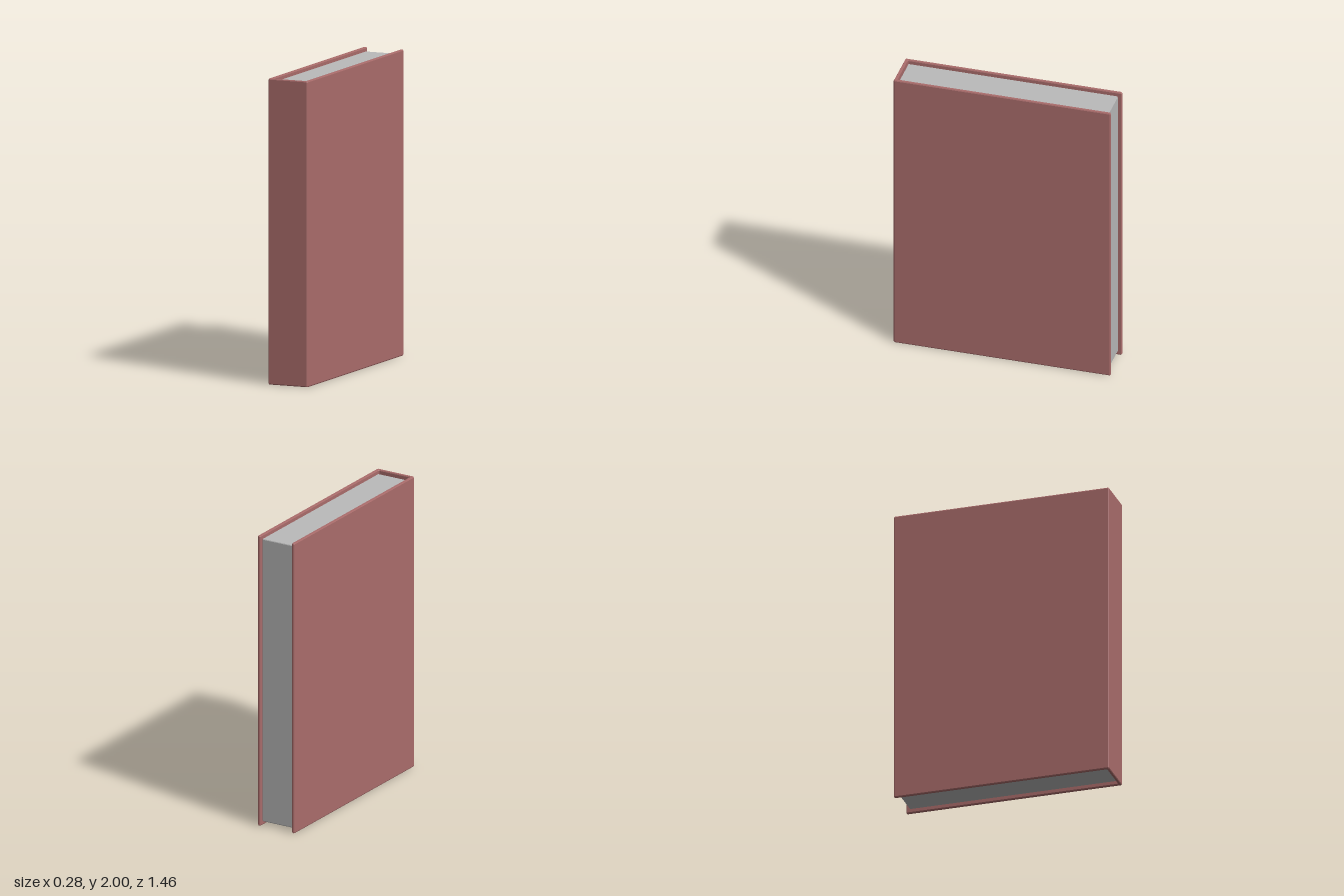
import * as THREE from 'three';

const BEVEL = 0.006;

// Upright prism from a floor outline [x, z], with corners and rims chamfered.
function chamferedPrism(outline, y0, y1, b) {
  const pts = [];
  const n = outline.length;
  outline.forEach(([x, z], i) => {
    const p = new THREE.Vector2(x, -z);
    for (const j of [(i + n - 1) % n, (i + 1) % n]) {
      const q = new THREE.Vector2(outline[j][0], -outline[j][1]);
      pts.push(p.clone().add(q.sub(p).setLength(b)));
    }
  });
  const geo = new THREE.ExtrudeGeometry(new THREE.Shape(pts), {
    depth: y1 - y0 - 2 * b, bevelEnabled: true, bevelSegments: 1,
    bevelThickness: b, bevelSize: b / 2, bevelOffset: -b / 2,
  });
  return geo.rotateX(-Math.PI / 2).translate(0, y0 + b, 0);
}

export function createModel() {
  const coverRed = new THREE.MeshStandardMaterial({ color: 0xab6d6c });
  coverRed.name = 'coverRed';
  const paperGrey = new THREE.MeshStandardMaterial({ color: 0xbababa });
  paperGrey.name = 'paperGrey';

  const book = new THREE.Group();
  book.name = 'book';

  // Two boards joined by the spine at the front, open at the back
  const w = 0.14, d = 0.73, t = 0.02;
  const cover = new THREE.Mesh(chamferedPrism([
    [-w, d], [w, d], [w, -d], [w - t, -d],
    [w - t, d - t], [-w + t, d - t], [-w + t, -d], [-w, -d],
  ], 0, 2, BEVEL), coverRed);
  cover.name = 'cover';

  // Page block, set back from the cover edges
  const pw = w - t, pd = 0.705;
  const pages = new THREE.Mesh(chamferedPrism([
    [-pw, pd], [pw, pd], [pw, -pd], [-pw, -pd],
  ], 0.026, 1.974, 0.005), paperGrey);
  pages.name = 'pages';

  book.add(cover, pages);
  return book;
}
